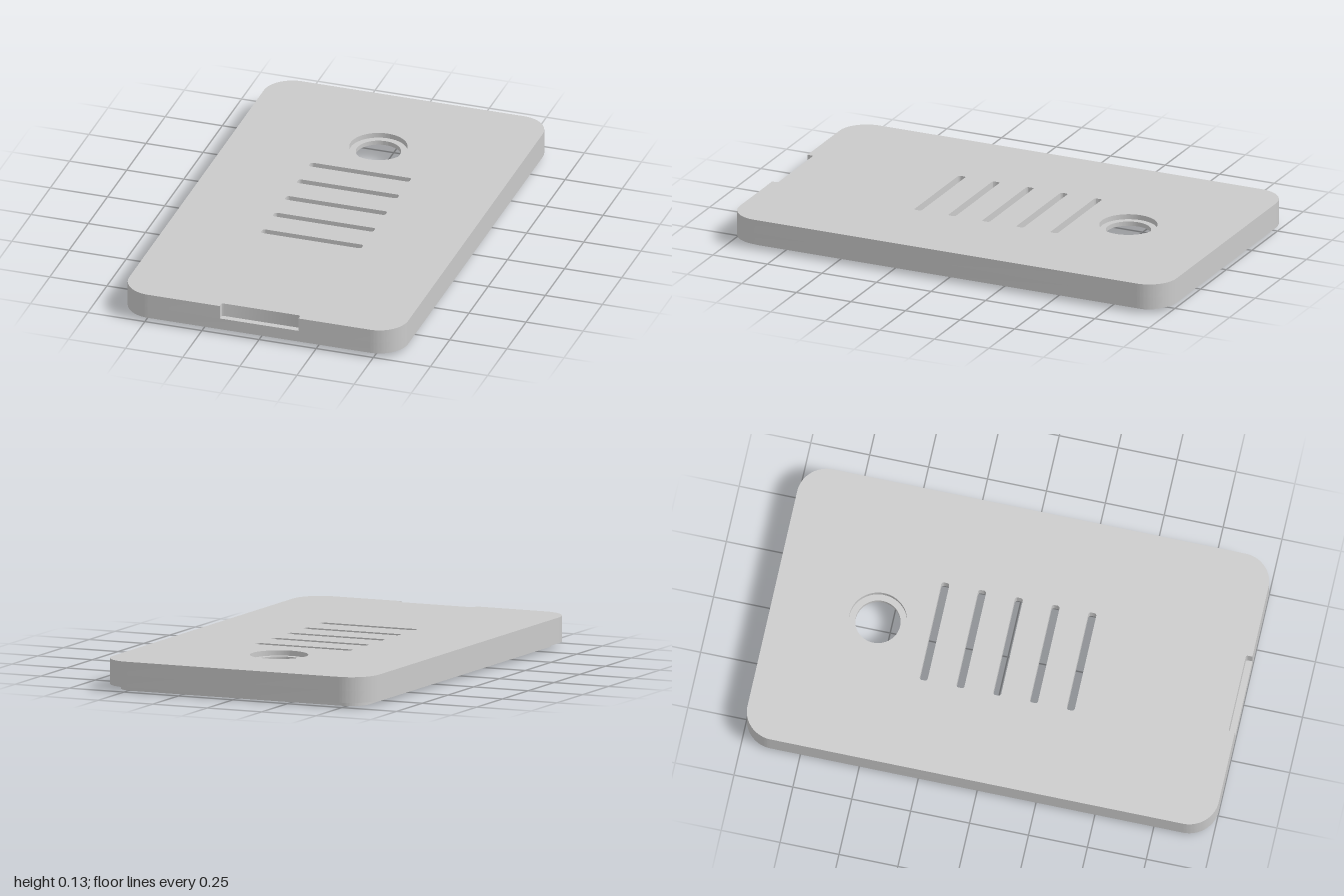
import * as THREE from 'three';
import { toCreasedNormals } from 'three/addons/utils/BufferGeometryUtils.js';

// Plan outlines are drawn counter-clockwise in (x, -z).
const TOP = 0.128, BORE = 0.106, UNDER = 0.087, NOTCH = 0.07, STEP = 0.02;
const NOTCH_W = 0.172, NOTCH_D = 0.027, FILLET = 0.01;

// Rounded rectangle outline; an optional notch is cut into its front edge.
function outline(hw, hl, r, cx = 0, cy = 0, notch = false, segments = 16) {
  const s = new THREE.Shape();
  s.moveTo(cx - hw + r, cy - hl);
  if (notch) {
    const w = NOTCH_W, f = FILLET, back = -hl + NOTCH_D;
    s.lineTo(-w, -hl);
    s.lineTo(-w, back - f);
    s.quadraticCurveTo(-w, back, -w + f, back);
    s.lineTo(w - f, back);
    s.quadraticCurveTo(w, back, w, back - f);
    s.lineTo(w, -hl);
  }
  s.absarc(cx + hw - r, cy - hl + r, r, -Math.PI / 2, 0);
  s.absarc(cx + hw - r, cy + hl - r, r, 0, Math.PI / 2);
  s.absarc(cx - hw + r, cy + hl - r, r, Math.PI / 2, Math.PI);
  s.absarc(cx - hw + r, cy - hl + r, r, Math.PI, Math.PI * 1.5);
  return clean(s.getPoints(segments));
}

// Body outline moved inward by a distance, with concentric corners.
const inset = (d) => outline(0.61 - d, 1 - d, 0.125 - d);

function circle(r, cx, cy) {
  return clean(new THREE.Shape().absarc(cx, cy, r, 0, Math.PI * 2).getPoints(64));
}

// Drop repeated points, including the closing one.
function clean(pts) {
  return pts.filter((p, i) => p.distanceTo(pts[(i + 1) % pts.length]) > 1e-5);
}

// Flat face at height y, facing up or down.
function cap(outer, holes, y, up = true) {
  const shape = new THREE.Shape(outer);
  shape.holes = holes.map((h) => new THREE.Path(h));
  const g = new THREE.ShapeGeometry(shape);
  if (!up) {
    const ix = g.index.array;
    for (let i = 0; i < ix.length; i += 3) [ix[i], ix[i + 1]] = [ix[i + 1], ix[i]];
    g.computeVertexNormals();
  }
  return g.rotateX(-Math.PI / 2).translate(0, y, 0);
}

// Upright wall along an outline, facing outward or inward.
function wall(points, y0, y1, inward = false) {
  const pts = inward ? [...points].reverse() : points;
  const pos = [];
  pts.forEach((a, i) => {
    const b = pts[(i + 1) % pts.length];
    const q = [[a, y0], [b, y0], [b, y1], [a, y0], [b, y1], [a, y1]];
    for (const [p, y] of q) pos.push(p.x, y, -p.y);
  });
  const g = new THREE.BufferGeometry();
  g.setAttribute('position', new THREE.Float32BufferAttribute(pos, 3));
  return toCreasedNormals(g, 0.6);
}

export function createModel() {
  const model = new THREE.Group();
  model.name = 'enclosureLid';
  const grey = new THREE.MeshStandardMaterial({ color: 0xcacaca });
  grey.name = 'grey plastic';

  const part = (name, ...geometries) => {
    const group = new THREE.Group();
    group.name = name;
    geometries.forEach((g, i) => {
      const m = new THREE.Mesh(g, grey);
      m.name = `${name}Face${i + 1}`;
      group.add(m);
    });
    model.add(group);
  };

  const body = inset(0);
  const notched = outline(0.61, 1, 0.125, 0, 0, true);
  const lipOuter = inset(0.045);
  const lipInner = inset(0.062);
  const cavity = inset(0.076);
  const bore = circle(0.121, 0, 0.552);
  const hole = circle(0.094, 0, 0.552);
  const slots = [-2, -1, 0, 1, 2].map((i) =>
    outline(0.22, 0.017, 0.011, 0, -i * 0.156, false, 5));

  // Top plate and the outer side walls
  part('topPlate', cap(notched, [bore, ...slots], TOP));
  part('sideWalls', wall(body, STEP, NOTCH), wall(notched, NOTCH, TOP));

  // Floor of the front finger notch
  const floor = new THREE.Shape();
  floor.moveTo(-NOTCH_W, -1);
  floor.lineTo(NOTCH_W, -1);
  floor.lineTo(NOTCH_W, -1 + NOTCH_D - FILLET);
  floor.quadraticCurveTo(NOTCH_W, -1 + NOTCH_D, NOTCH_W - FILLET, -1 + NOTCH_D);
  floor.lineTo(-NOTCH_W + FILLET, -1 + NOTCH_D);
  floor.quadraticCurveTo(-NOTCH_W, -1 + NOTCH_D, -NOTCH_W, -1 + NOTCH_D - FILLET);
  part('notchFloor', cap(clean(floor.getPoints(16)), [], NOTCH));

  // Stepped round opening
  part('roundOpening', wall(bore, BORE, TOP, true), cap(bore, [hole], BORE),
    wall(hole, UNDER, BORE, true));

  // Vent slots
  part('ventSlots', ...slots.map((s) => wall(s, UNDER, TOP, true)));

  // Hollow underside
  part('underside', cap(cavity, [hole, ...slots], UNDER, false),
    wall(cavity, STEP, UNDER, true));

  // Rim steps on both sides of the locating lip
  part('rimSteps', cap(body, [lipOuter], STEP, false), cap(lipInner, [cavity], STEP, false));
  part('locatingLip', wall(lipOuter, 0, STEP), cap(lipOuter, [lipInner], 0, false),
    wall(lipInner, 0, STEP, true));

  return model;
}
